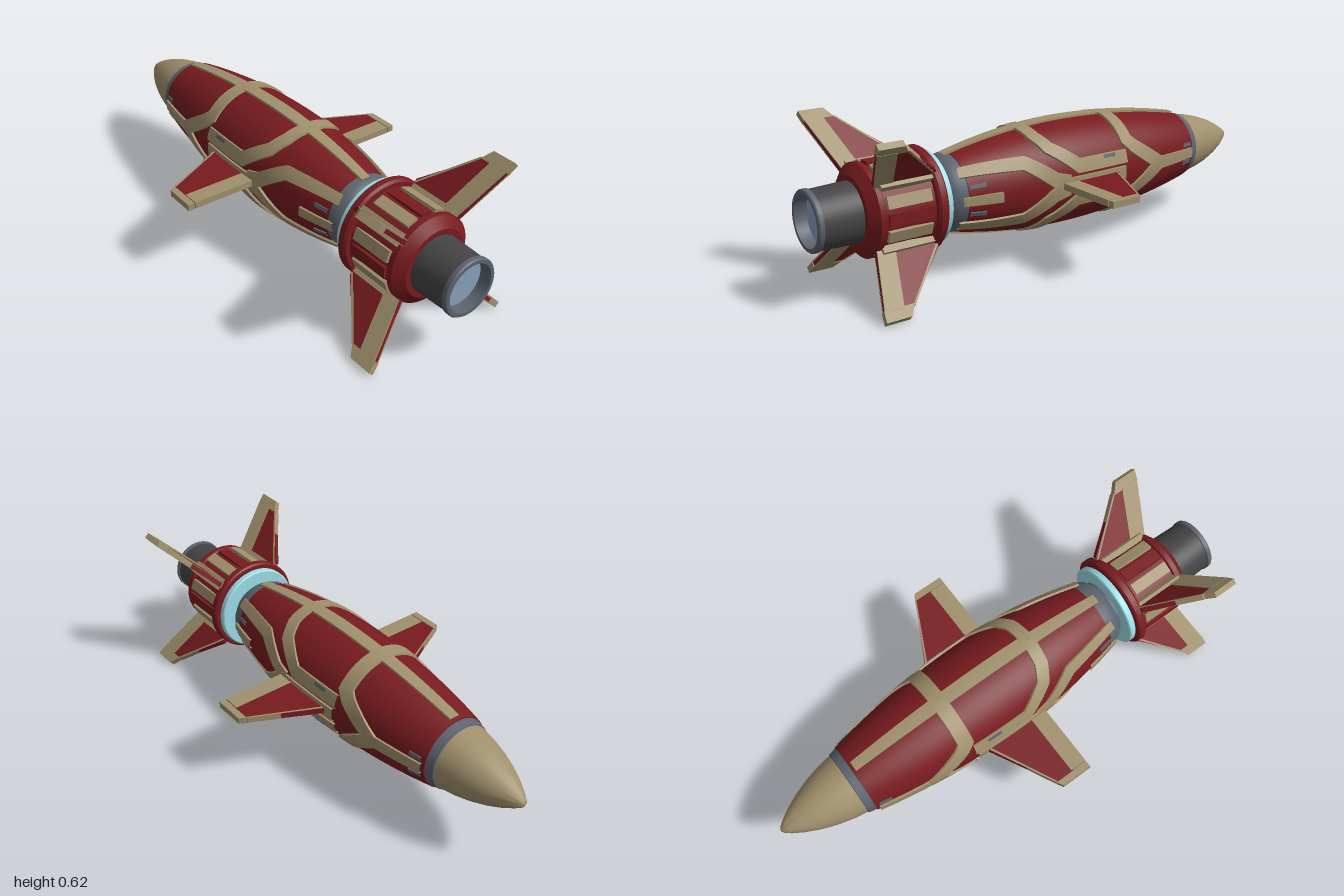
import * as THREE from 'three';
import { toCreasedNormals } from 'three/addons/utils/BufferGeometryUtils.js';

const mat = (name, color, side = THREE.FrontSide) => {
  const m = new THREE.MeshStandardMaterial({ color, side });
  m.name = name;
  return m;
};

export function createModel() {
  const red = mat('deep red', 0x781b1f);
  const tan = mat('tan', 0xa0906c, THREE.DoubleSide);
  const slate = mat('slate grey', 0x5c646f, THREE.DoubleSide);
  const dark = mat('charcoal', 0x444446);
  const cyan = mat('pale cyan', 0xa2e4ee);
  const blue = mat('steel blue', 0x88a2bc);

  const model = new THREE.Group();
  const rocket = new THREE.Group();
  rocket.name = 'rocket';
  rocket.position.y = 0.305;
  model.add(rocket);

  const add = (name, geometry, material, parent = rocket) => {
    const mesh = new THREE.Mesh(geometry, material);
    mesh.name = name;
    parent.add(mesh);
    return mesh;
  };

  // Turned part along the x axis from [x, radius] pairs
  const turned = (name, pts, material) => {
    const g = new THREE.LatheGeometry(pts.map(([x, r]) => new THREE.Vector2(r, x)), 48);
    g.rotateZ(-Math.PI / 2);
    return add(name, toCreasedNormals(g, 0.6), material);
  };

  // Hull radius at a station x
  const hullRadius = (x) => 0.207 - (x < -0.05 ? 0.17 : 0.235) * (x + 0.05) ** 2;

  // Nose, collar, hull and neck
  turned('noseCone', [[-1, 0.001], [-0.994, 0.014], [-0.97, 0.032], [-0.93, 0.056], [-0.88, 0.08],
    [-0.82, 0.102], [-0.76, 0.118], [-0.7, 0.128], [-0.69, 0.12]], tan);
  turned('noseCollar', [[-0.705, 0.11], [-0.698, 0.132], [-0.665, 0.139], [-0.658, 0.12]], slate);
  const hull = [[-0.67, 0.12]];
  for (let i = 0; i <= 24; i++) {
    const x = -0.665 + (1.11 * i) / 24;
    hull.push([x, hullRadius(x)]);
  }
  hull.push([0.45, 0.13]);
  turned('hull', hull, red);
  turned('neck', [[0.435, 0.13], [0.44, 0.148], [0.475, 0.145], [0.5, 0.132], [0.517, 0.112], [0.56, 0.11]], slate);
  turned('glowRing', [[0.524, 0.1], [0.524, 0.168], [0.528, 0.173], [0.548, 0.173], [0.555, 0.165], [0.555, 0.1]], cyan);

  // Tail drum and nozzle
  turned('tailFlange', [[0.553, 0.1], [0.553, 0.187], [0.56, 0.193], [0.583, 0.193], [0.592, 0.185], [0.592, 0.15]], red);
  turned('tailDrum', [[0.585, 0.168], [0.68, 0.162], [0.78, 0.162], [0.785, 0.17], [0.805, 0.17],
    [0.835, 0.132], [0.835, 0.1]], red);
  turned('nozzle', [[0.83, 0.111], [0.9, 0.109], [0.98, 0.106]], dark);
  turned('nozzleRim', [[0.978, 0.1], [0.98, 0.111], [0.995, 0.111], [1, 0.107], [1, 0.093], [0.95, 0.09]], slate);
  turned('nozzleCore', [[0.955, 0.0915], [0.955, 0.001]], blue);

  // Raised band on the hull following a path of [x, degrees around the axis]
  const band = (name, path, half, lift = 0.008, material = tan) => {
    const p = path.map(([x, deg]) => new THREE.Vector2(x, THREE.MathUtils.degToRad(deg) * 0.2));
    const dirs = p.slice(1).map((q, i) => q.clone().sub(p[i]).normalize());
    const miter = p.map((_, i) => {
      const a = dirs[Math.max(i - 1, 0)], b = dirs[Math.min(i, dirs.length - 1)];
      const t = a.clone().add(b).normalize();
      return new THREE.Vector2(-t.y, t.x).multiplyScalar(half / t.dot(a));
    });
    const section = [[-1, -0.004], [-0.92, lift], [0, lift], [0.92, lift], [1, -0.004]];
    const pos = [], index = [], steps = 8, n = section.length;
    const rows = (p.length - 1) * steps;
    for (let k = 0; k <= rows; k++) {
      const i = Math.min(Math.floor(k / steps), p.length - 2), f = k / steps - i;
      const c = p[i].clone().lerp(p[i + 1], f), m = miter[i].clone().lerp(miter[i + 1], f);
      section.forEach(([v, h], j) => {
        const x = c.x + m.x * v, a = (c.y + m.y * v) / 0.2, r = hullRadius(x) + h;
        pos.push(x, r * Math.sin(a), r * Math.cos(a));
        if (k < rows && j < n - 1) {
          const q = k * n + j;
          index.push(q, q + n, q + 1, q + n, q + n + 1, q + 1);
        }
      });
    }
    const g = new THREE.BufferGeometry();
    g.setAttribute('position', new THREE.Float32BufferAttribute(pos, 3));
    g.setIndex(index);
    add(name, toCreasedNormals(g, 0.6), material);
  };

  // Bands mirrored into the four quarters of the hull
  const quarters = [(d) => d, (d) => -d, (d) => 180 - d, (d) => 180 + d];
  for (const q of quarters) {
    const map = (path) => path.map(([x, d]) => [x, q(d)]);
    band('frontForkBand', map([[-0.44, 0], [-0.3, 27], [-0.27, 36], [-0.27, 90]]), 0.032);
    band('midBand', map([[-0.25, 18], [-0.01, 18], [0.1, 43], [0.13, 62], [0.14, 90]]), 0.028);
    band('rearForkBand', map([[0.04, 3], [0.1, 8], [0.22, 33], [0.47, 42]]), 0.029);
    band('sideVent', map([[-0.19, 22], [-0.13, 22]]), 0.007, 0.01, slate);
    band('rearVent', map([[0.38, 19], [0.44, 19]]), 0.01, 0.005, slate);
    band('frontVent', map([[-0.65, 14], [-0.6, 14]]), 0.01, 0.005, slate);
  }
  for (const d of [0, 180]) {
    band('frontSideBand', [[-0.655, d], [-0.42, d]], 0.029);
    band('wingRootBand', [[-0.24, d], [0.09, d]], 0.028);
    band('rearSideBand', [[0.32, d], [0.47, d]], 0.023);
  }
  for (const d of [90, -90]) {
    band('frontSpineBand', [[-0.655, d], [-0.28, d]], 0.028);
    band('midSpineBand', [[-0.25, d], [0.13, d]], 0.028);
    band('rearSpineBand', [[0.15, d], [0.47, d]], 0.026);
  }

  // Flat plate from [x, distance from axis] corners, centred on its thickness
  const plate = (name, pts, depth, material, parent, z = 0) => {
    const shape = new THREE.Shape(pts.map(([x, r]) => new THREE.Vector2(x, r)));
    const g = new THREE.ExtrudeGeometry(shape, { depth, bevelEnabled: false });
    g.translate(0, 0, z - depth / 2);
    return add(name, g, material, parent);
  };

  // Side wings
  for (const side of [1, -1]) {
    const wing = new THREE.Group();
    wing.name = side > 0 ? 'frontWing' : 'backWing';
    wing.rotation.x = (side * Math.PI) / 2;
    rocket.add(wing);
    plate('wingPanel', [[-0.2, 0.17], [0.01, 0.17], [0.01, 0.462], [-0.068, 0.462], [-0.2, 0.21]], 0.022, red, wing);
    plate('wingTrailingStrip', [[0.003, 0.17], [0.07, 0.17], [0.07, 0.46], [0.003, 0.46]], 0.025, tan, wing);
    plate('wingTip', [[-0.07, 0.464], [0.07, 0.464], [0.07, 0.49], [-0.055, 0.49]], 0.025, tan, wing);
    plate('wingLeadingEdge', [[-0.206, 0.19], [-0.197, 0.19], [-0.064, 0.462], [-0.071, 0.462]], 0.024, tan, wing);
  }

  // Four diagonal tail fins
  for (let k = 0; k < 4; k++) {
    const fin = new THREE.Group();
    fin.name = 'tailFin';
    fin.rotation.x = Math.PI / 4 + (k * Math.PI) / 2;
    rocket.add(fin);
    plate('finPanel', [[0.58, 0.14], [0.8, 0.14], [0.866, 0.385], [0.757, 0.385], [0.58, 0.205]], 0.02, red, fin);
    plate('finTip', [[0.752, 0.38], [0.868, 0.38], [0.875, 0.423], [0.78, 0.423]], 0.024, tan, fin);
    plate('finLeadingEdge', [[0.575, 0.19], [0.585, 0.19], [0.76, 0.385], [0.75, 0.385]], 0.023, tan, fin);
    for (const s of [1, -1]) {
      plate('finTrailingStrip', [[0.735, 0.16], [0.805, 0.16], [0.868, 0.387], [0.795, 0.387]], 0.005, tan, fin, s * 0.0105);
    }
    add('finRoot', new THREE.BoxGeometry(0.2, 0.03, 0.05).translate(0.69, 0.172, 0), tan, fin);
  }

  // Ribs around the tail drum
  for (let k = 0; k < 4; k++) {
    for (const [offset, material] of [[-21, tan], [0, red], [21, tan]]) {
      const rib = add('drumRib', new THREE.BoxGeometry(0.17, 0.018, 0.044).translate(0.69, 0.164, 0), material);
      rib.rotation.x = THREE.MathUtils.degToRad(k * 90 + offset);
    }
  }
  return model;
}
